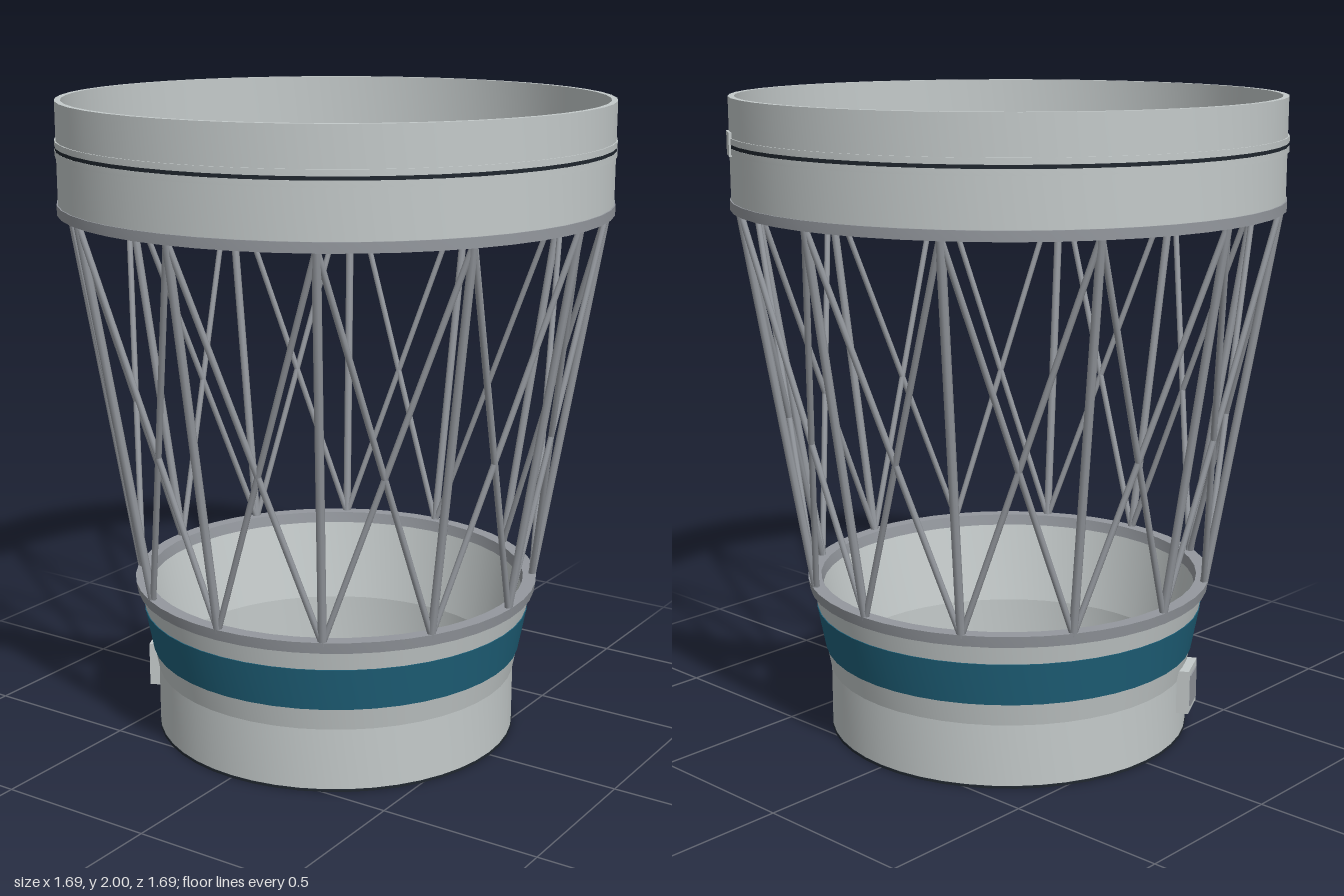
import * as THREE from 'three';
import { toCreasedNormals } from 'three/addons/utils/BufferGeometryUtils.js';

const material = (name, color, side = THREE.FrontSide) =>
  Object.assign(new THREE.MeshStandardMaterial({ color, side }), { name });

export function createModel() {
  const model = new THREE.Group();
  model.name = 'interstageAdapter';

  const lightGrey = material('light grey panel', 0xc4caca);
  const midGrey = material('mid grey metal', 0x94989e);
  const teal = material('teal stripe', 0x1f627b);
  const tan = material('tan dome', 0xc4975f, THREE.DoubleSide);
  const dark = material('dark seam', 0x20272f);
  const SEGMENTS = 48;

  const add = (name, geometry, mat, parent = model) => {
    const mesh = new THREE.Mesh(geometry, mat);
    mesh.name = name;
    parent.add(mesh);
    return mesh;
  };

  // Closed hollow ring: outer radii rise from y0 to y1, with a given wall thickness
  const ring = (name, y0, y1, r0, r1, wall, mat, start = 0, arc = Math.PI * 2) => {
    const profile = [[r0, y0], [r1, y1], [r1 - wall, y1], [r0 - wall, y0], [r0, y0]];
    const geometry = new THREE.LatheGeometry(
      profile.map(([r, y]) => new THREE.Vector2(r, y)), SEGMENTS, start, arc);
    return add(name, toCreasedNormals(geometry, 0.5), mat);
  };

  // Lower skirt and flared cone
  const coneRadius = (y) => 0.572 + (y - 0.2) * 0.19;
  ring('bottomEdge', 0, 0.008, 0.574, 0.574, 0.02, dark);
  ring('lowerSkirt', 0.004, 0.2, 0.572, 0.572, 0.018, lightGrey);
  ring('flaredCone', 0.2, 0.465, coneRadius(0.2), coneRadius(0.465), 0.018, lightGrey);
  ring('tealStripe', 0.27, 0.405, coneRadius(0.27) + 0.003, coneRadius(0.405) + 0.003, 0.006, teal);
  ring('lowerFlange', 0.465, 0.5, 0.634, 0.64, 0.042, midGrey);

  // Upper ring with its flange and separation seam
  ring('upperFlange', 1.665, 1.695, 0.843, 0.843, 0.04, midGrey);
  ring('upperRing', 1.69, 2, 0.839, 0.839, 0.018, lightGrey);
  const seamStart = THREE.MathUtils.degToRad(149.5);
  const seamArc = THREE.MathUtils.degToRad(351.5);
  ring('seamLowerLip', 1.837, 1.855, 0.843, 0.843, 0.006, lightGrey, seamStart, seamArc);
  ring('seamUpperLip', 1.866, 1.884, 0.843, 0.843, 0.006, lightGrey, seamStart, seamArc);
  ring('darkSeam', 1.855, 1.866, 0.842, 0.842, 0.005, dark, seamStart, seamArc);

  // Box placed on a wall, facing outwards at an angle from the front
  const wallBox = (name, degrees, radius, y, size, mat) => {
    const a = THREE.MathUtils.degToRad(degrees);
    const box = add(name, new THREE.BoxGeometry(...size), mat);
    box.position.set(Math.sin(a) * radius, y, Math.cos(a) * radius);
    box.rotation.y = a;
  };
  wallBox('seamLatch', 145, 0.83, 1.865, [0.1, 0.07, 0.03], lightGrey);
  wallBox('seamLatchBack', 145, 0.812, 1.865, [0.07, 0.045, 0.008], dark);
  wallBox('equipmentBox', -64, 0.575, 0.165, [0.13, 0.14, 0.06], lightGrey);
  wallBox('equipmentBoxCover', -64, 0.606, 0.165, [0.09, 0.1, 0.006], midGrey);

  // Open truss: at each of twelve nodes one straight strut and two diagonals
  const truss = new THREE.Group();
  truss.name = 'truss';
  model.add(truss);
  const node = (i, r, y) => {
    const a = (i * Math.PI) / 6;
    return new THREE.Vector3(Math.sin(a) * r, y, Math.cos(a) * r);
  };
  const up = new THREE.Vector3(0, 1, 0);
  const strut = (name, from, to, radius) => {
    const along = to.clone().sub(from);
    const mesh = add(name, new THREE.CylinderGeometry(radius, radius, along.length(), 8), midGrey, truss);
    mesh.position.copy(from).addScaledVector(along, 0.5);
    mesh.quaternion.setFromUnitVectors(up, along.normalize());
  };
  for (let i = 0; i < 12; i++) {
    const foot = node(i, 0.626, 0.49);
    strut('straightStrut', foot, node(i, 0.824, 1.675), 0.013);
    strut('diagonalStrut', foot, node(i + 1, 0.824, 1.675), 0.0095);
    strut('diagonalStrut', foot, node(i - 1, 0.824, 1.675), 0.0095);
  }

  // Shallow dome closing the skirt, with thin concentric rings
  const domeRadius = 0.558;
  const domeHeight = (r) => 0.015 + 0.16 * (1 - (r / domeRadius) ** 2);
  const domeProfile = [];
  for (let i = 0; i <= 12; i++) {
    const r = domeRadius * (1 - i / 12);
    domeProfile.push(new THREE.Vector2(r, domeHeight(r)));
  }
  add('dome', new THREE.LatheGeometry(domeProfile, SEGMENTS), tan);
  for (const r of [0.195, 0.385, 0.525]) {
    const line = add('domeRing', new THREE.TorusGeometry(r, 0.004, 6, SEGMENTS), dark);
    line.rotation.x = Math.PI / 2;
    line.position.y = domeHeight(r);
  }

  return model;
}
